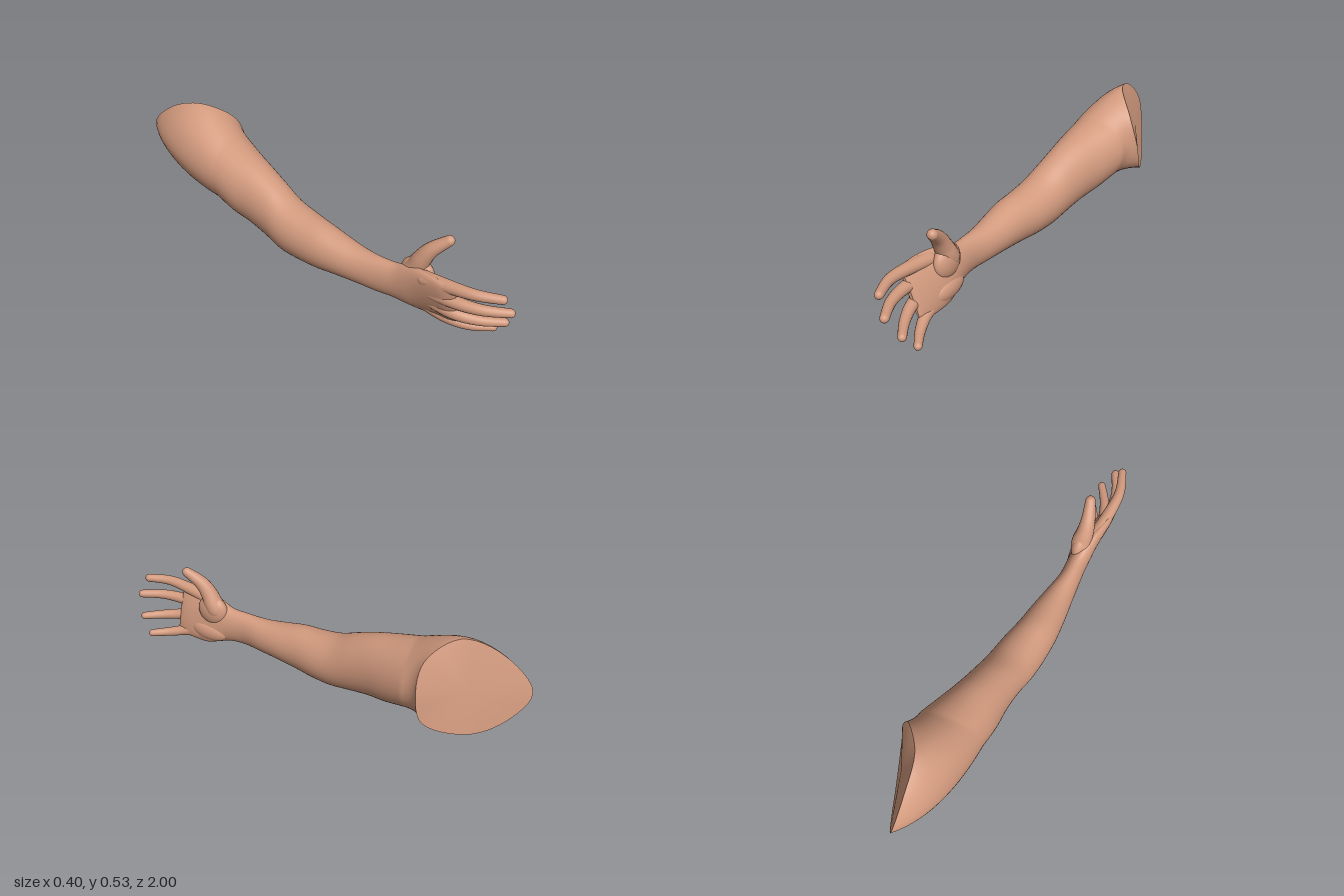
import * as THREE from 'three';
import { mergeVertices } from 'three/addons/utils/BufferGeometryUtils.js';

const SIDES = 48;

// Surface through closed rings of Vector3, running towards +z
function loft(rings) {
  const pos = [], idx = [];
  rings.forEach(r => r.forEach(p => pos.push(p.x, p.y, p.z)));
  for (let i = 0; i < rings.length - 1; i++) {
    for (let j = 0; j < SIDES; j++) {
      const k = (j + 1) % SIDES;
      const a = i * SIDES + j, b = i * SIDES + k;
      idx.push(a, b, b + SIDES, a, b + SIDES, a + SIDES);
    }
  }
  return indexed(pos, idx);
}

// Fan over a ring; flip makes it face away from +z
function fan(ring, flip) {
  const c = new THREE.Vector3();
  ring.forEach(p => c.addScaledVector(p, 1 / SIDES));
  const pos = [c.x, c.y, c.z], idx = [];
  ring.forEach((p, j) => {
    const a = j + 1, b = (j + 1) % SIDES + 1;
    pos.push(p.x, p.y, p.z);
    idx.push(0, flip ? b : a, flip ? a : b);
  });
  return indexed(pos, idx);
}

function indexed(pos, idx) {
  const g = new THREE.BufferGeometry();
  g.setAttribute('position', new THREE.Float32BufferAttribute(pos, 3));
  g.setIndex(idx);
  g.computeVertexNormals();
  return g;
}

// Tapered tube, rounded at both ends
function digit(points, r0, r1) {
  const curve = new THREE.CatmullRomCurve3(points.map(p => new THREE.Vector3(...p)));
  const steps = 48, sides = 18, length = curve.getLength();
  const round = x => Math.sqrt(Math.max(1e-6, 1 - (1 - Math.min(1, x)) ** 2));
  let g = new THREE.TubeGeometry(curve, steps, 1, sides, false);
  const pos = g.attributes.position, v = new THREE.Vector3();
  for (let i = 0; i <= steps; i++) {
    // sample spacing tightens towards both ends
    const t = i / steps, u = 0.5 - 0.5 * Math.cos(Math.PI * t);
    const p = curve.getPointAt(t), q = curve.getPointAt(u);
    const r = THREE.MathUtils.lerp(r0, r1, u) * round((1 - u) * length / r1) * round(u * length / r0);
    for (let j = 0; j <= sides; j++) {
      const n = i * (sides + 1) + j;
      v.fromBufferAttribute(pos, n).sub(p).multiplyScalar(r).add(q);
      pos.setXYZ(n, v.x, v.y, v.z);
    }
  }
  g.deleteAttribute('normal');
  g.deleteAttribute('uv');
  g = mergeVertices(g, 1e-5);
  g.computeVertexNormals();
  return g;
}

// z, centre x, centre y, half width, half height, sideways lean
const SECTIONS = [
  [-0.5, 0.004, 0.277, 0.151, 0.156, 0],
  [-0.4, -0.019, 0.246, 0.138, 0.155, 0],
  [-0.3, -0.037, 0.222, 0.12, 0.149, 0],
  [-0.2, -0.055, 0.19, 0.111, 0.14, 0],
  [-0.1, -0.075, 0.156, 0.11, 0.126, 0],
  [0, -0.09, 0.145, 0.106, 0.115, 0],
  [0.1, -0.105, 0.142, 0.095, 0.107, 0],
  [0.2, -0.112, 0.137, 0.083, 0.092, 0],
  [0.3, -0.118, 0.132, 0.067, 0.083, 0],
  [0.4, -0.125, 0.133, 0.051, 0.083, 0],
  [0.48, -0.122, 0.135, 0.048, 0.086, -0.05],
  [0.54, -0.12, 0.138, 0.049, 0.104, -0.15],
  [0.6, -0.12, 0.14, 0.046, 0.12, -0.25],
  [0.68, -0.128, 0.143, 0.04, 0.122, -0.33],
  [0.73, -0.133, 0.143, 0.034, 0.119, -0.35],
  [0.765, -0.133, 0.143, 0.022, 0.11, -0.35],
  [0.778, -0.133, 0.143, 0.008, 0.1, -0.35],
];

// Smooth interpolation between section rows
function sectionAt(s) {
  const last = SECTIONS.length - 1, i = Math.min(Math.floor(s), last - 1), t = s - i;
  const [a, b, c, d] = [i - 1, i, i + 1, i + 2].map(k => SECTIONS[Math.min(last, Math.max(0, k))]);
  return b.map((_, n) => b[n] + 0.5 * t * (c[n] - a[n]
    + t * (2 * a[n] - 5 * b[n] + 4 * c[n] - d[n] + t * (3 * (b[n] - c[n]) + d[n] - a[n]))));
}

function sectionRing(s) {
  const [z, cx, cy, rx, ry, lean] = sectionAt(s);
  return Array.from({ length: SIDES }, (_, j) => {
    const a = j / SIDES * Math.PI * 2, dy = ry * Math.sin(a);
    return new THREE.Vector3(cx + rx * Math.cos(a) + lean * dy, cy + dy, z);
  });
}

export function createModel() {
  const group = new THREE.Group();
  const skin = new THREE.MeshStandardMaterial({ color: 0xd29a7e });
  skin.name = 'skin';
  const add = (name, geometry) => {
    const mesh = new THREE.Mesh(geometry, skin);
    mesh.name = name;
    group.add(mesh);
  };

  // Slanted outline where the shoulder ends
  const outline = new THREE.CatmullRomCurve3([
    [0.193, 0.3, -0.582], [0.142, 0.445, -0.59], [0.045, 0.528, -0.7], [0.01, 0.485, -0.865],
    [0.01, 0.35, -1], [0.065, 0.215, -0.925], [0.128, 0.139, -0.79], [0.192, 0.175, -0.62],
  ].map(p => new THREE.Vector3(...p)), true);
  const cut = Array.from({ length: SIDES }, (_, j) => outline.getPoint(j / SIDES));

  // Shoulder rings swing from the slanted outline to the first upright section
  const first = sectionRing(0), rings = [];
  for (let i = 0; i < 14; i++) {
    const t = i / 14;
    rings.push(cut.map((c, j) => {
      const e = first[j], rise = c.y > e.y ? 0.85 : 0.5;
      const m = new THREE.Vector3(
        e.x + 0.05 * (c.x - e.x), e.y + rise * (c.y - e.y), e.z + 0.7 * (c.z - e.z));
      return new THREE.QuadraticBezierCurve3(c, m, e).getPoint(t);
    }));
  }
  const steps = (SECTIONS.length - 1) * 5;
  for (let i = 0; i <= steps; i++) rings.push(sectionRing(i / 5));

  add('armAndPalm', loft(rings));
  add('shoulderCutFace', fan(cut, true));
  add('palmEnd', fan(rings[rings.length - 1], false));

  // Soft mounds of the palm under the thumb and the little finger
  add('thumbMound', new THREE.SphereGeometry(1, 32, 20)
    .scale(0.042, 0.078, 0.078).rotateX(0.35).translate(-0.104, 0.2, 0.573));
  add('palmHeel', new THREE.SphereGeometry(1, 32, 20)
    .scale(0.036, 0.05, 0.1).translate(-0.092, 0.085, 0.59));

  // Fingers and thumb: path, base radius, tip radius
  add('indexFinger', digit([[-0.145, 0.222, 0.6], [-0.16, 0.244, 0.75],
    [-0.16, 0.256, 0.86], [-0.122, 0.259, 0.977]], 0.034, 0.018));
  add('middleFinger', digit([[-0.135, 0.17, 0.6], [-0.154, 0.176, 0.76],
    [-0.14, 0.18, 0.88], [-0.083, 0.181, 1]], 0.034, 0.018));
  add('ringFinger', digit([[-0.115, 0.118, 0.6], [-0.132, 0.103, 0.76],
    [-0.1, 0.092, 0.86], [-0.037, 0.087, 0.962]], 0.034, 0.017));
  add('littleFinger', digit([[-0.092, 0.068, 0.58], [-0.1, 0.042, 0.72],
    [-0.07, 0.023, 0.81], [-0.012, 0.017, 0.905]], 0.034, 0.016));
  add('thumb', digit([[-0.115, 0.17, 0.535], [-0.105, 0.235, 0.568], [-0.106, 0.285, 0.592],
    [-0.1, 0.335, 0.625], [-0.07, 0.405, 0.705]], 0.054, 0.02));

  return group;
}
